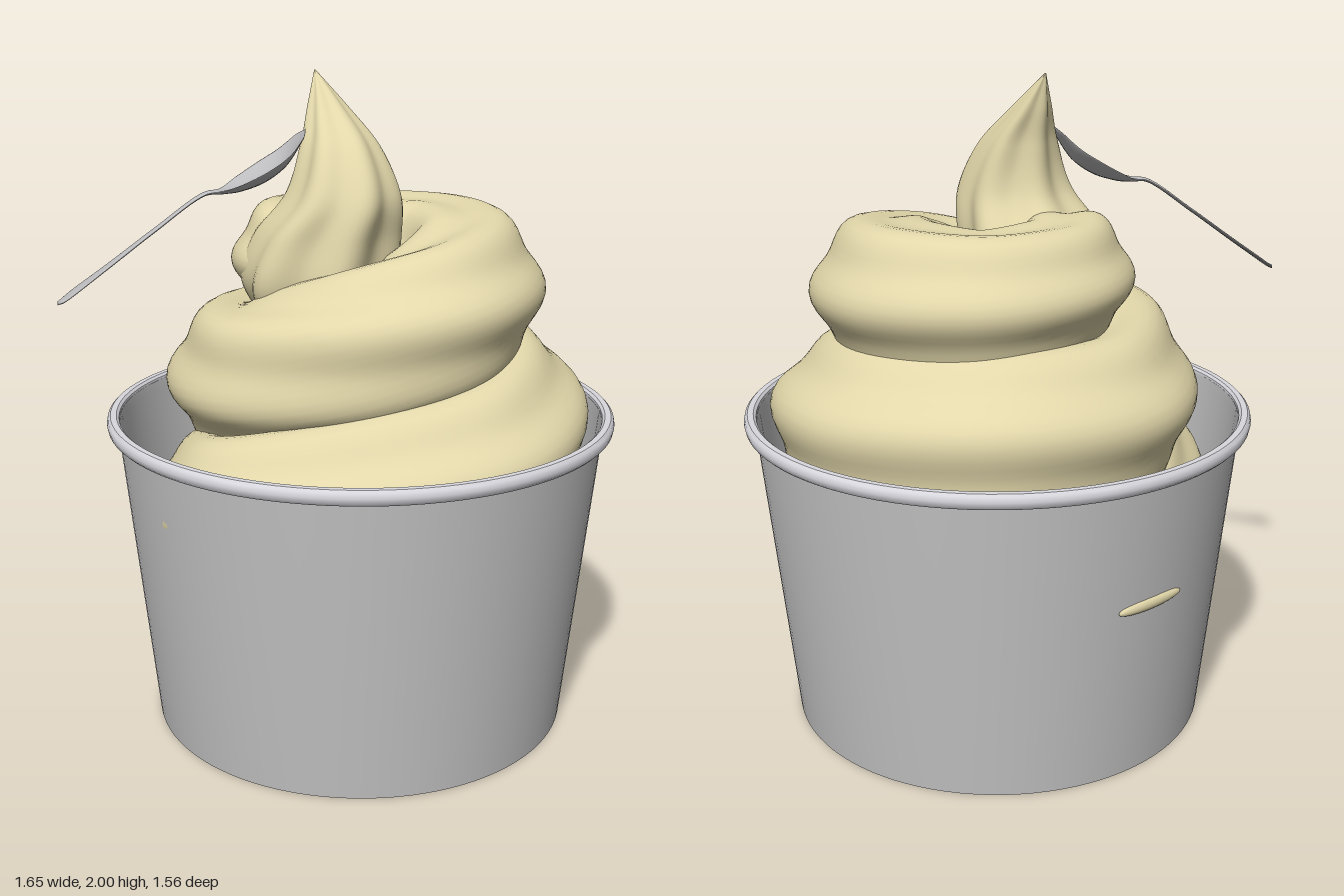
import * as THREE from 'three';
import { toCreasedNormals } from 'three/addons/utils/BufferGeometryUtils.js';

const V = (x, y, z) => new THREE.Vector3(x, y, z);

const material = (name, color) => {
  const m = new THREE.MeshStandardMaterial({ color, side: THREE.DoubleSide });
  m.name = name;
  return m;
};

// Skin a list of closed rings (arrays of Vector3) into a smooth surface
function loft(rings) {
  const n = rings[0].length;
  const pos = rings.flat().flatMap((p) => [p.x, p.y, p.z]);
  const idx = [];
  for (let i = 0; i < rings.length - 1; i++) {
    for (let j = 0; j < n; j++) {
      const a = i * n + j, b = i * n + ((j + 1) % n);
      idx.push(a, b, a + n, b, b + n, a + n);
    }
  }
  const g = new THREE.BufferGeometry();
  g.setAttribute('position', new THREE.Float32BufferAttribute(pos, 3));
  g.setIndex(idx);
  g.computeVertexNormals();
  return g;
}

// Smooth sampling of rows [x, y, z, a, b]; a and b are extra values such as radii
function sampler(rows) {
  const path = new THREE.CatmullRomCurve3(rows.map((r) => V(r[0], r[1], r[2])));
  const extra = new THREE.CatmullRomCurve3(
    rows.map((r) => V(r[3], r[4] || 0, 0)), false, 'catmullrom', 0.5);
  return (t) => ({ p: path.getPoint(t), tan: path.getTangent(t), e: extra.getPoint(t) });
}

const ring = (n, fn) => Array.from({ length: n }, (_, j) => fn((j / n) * Math.PI * 2));
const rows = (n, fn) => Array.from({ length: n + 1 }, (_, i) => fn(i / n));

// Six-ridged outline of the piped cream
const star = (a, amp) => 1 - amp + amp * Math.cos(6 * a);

// Coiled rope, climbing anticlockwise seen from above; extra values are radius and ridge angle
function coilGeometry() {
  const at = sampler([
    [0.26, 0.46, -0.28, 0.01, 10],
    [0.22, 0.47, -0.31, 0.2, 10],
    [0.02, 0.51, -0.4, 0.24, 10],
    [-0.26, 0.58, -0.3, 0.25, 0],
    [-0.37, 0.66, -0.02, 0.25, 5],
    [-0.31, 0.74, 0.33, 0.255, 15],
    [0.05, 0.83, 0.4, 0.26, 12],
    [0.37, 0.89, 0.28, 0.27, 12],
    [0.475, 0.95, 0.0, 0.275, 15],
    [0.35, 0.99, -0.32, 0.275, 18],
    [0.02, 1.02, -0.445, 0.27, 20],
    [-0.25, 1.04, -0.29, 0.265, 10],
    [-0.3, 1.08, 0.0, 0.26, 0],
    [-0.21, 1.13, 0.18, 0.25, -15],
    [0.03, 1.21, 0.255, 0.25, -30],
    [0.27, 1.3, 0.18, 0.245, -45],
    [0.365, 1.36, -0.04, 0.24, -58],
    [0.28, 1.38, -0.26, 0.235, -58],
    [0.06, 1.39, -0.35, 0.22, -55],
    [-0.14, 1.42, -0.24, 0.2, -60],
    [-0.16, 1.43, -0.06, 0.18, -60],
    [-0.08, 1.42, 0.02, 0.02, -60],
  ]);
  return loft(rows(320, (t) => {
    const { p, tan, e } = at(t);
    const n = V(0, 0, 0).crossVectors(tan, V(0, 1, 0)).normalize();
    const b = V(0, 0, 0).crossVectors(tan, n);
    return ring(60, (a) => {
      const r = Math.max(e.x, 0.005) * star(a + THREE.MathUtils.degToRad(e.y), 0.06);
      return p.clone().addScaledVector(n, r * Math.cos(a)).addScaledVector(b, r * Math.sin(a));
    });
  }));
}

// Pulled peak with twisting ridges
function peakGeometry() {
  const at = sampler([
    [-0.09, 1.24, 0.0, 0.17],
    [-0.09, 1.38, 0.0, 0.24],
    [-0.06, 1.52, 0.015, 0.225],
    [-0.01, 1.65, 0.045, 0.172],
    [-0.02, 1.79, 0.015, 0.118],
    [-0.06, 1.9, -0.045, 0.06],
    [-0.1, 2.0, -0.1, 0.002],
  ]);
  return loft(rows(60, (t) => {
    const { p, e } = at(t);
    const r = Math.max(e.x, 0.002);
    return ring(72, (a) => {
      const s = r * star(a - t * 0.6 + 0.3, 0.075);
      return V(p.x + s * Math.cos(a), p.y, p.z - s * Math.sin(a));
    });
  }));
}

// Spoon from bowl tip to handle end; extra values are half width and bowl depth
function spoonGeometry() {
  const z = (x) => 0.035 + (-0.12 - x) * 0.325;
  const at = sampler([
    [-0.12, 1.835, 0.004, 0],
    [-0.135, 1.82, 0.05, 0.01],
    [-0.18, 1.775, 0.085, 0.035],
    [-0.24, 1.735, 0.097, 0.04],
    [-0.31, 1.695, 0.075, 0.025],
    [-0.36, 1.67, 0.033, 0.006],
    [-0.41, 1.66, 0.017, 0],
    [-0.55, 1.562, 0.02, 0],
    [-0.68, 1.465, 0.028, 0],
    [-0.78, 1.392, 0.039, 0],
    [-0.81, 1.37, 0.03, 0],
    [-0.825, 1.362, 0.004, 0],
  ].map(([x, y, w, d]) => [x, y, z(x), w, d]));
  return loft(rows(90, (t) => {
    const { p, e } = at(t);
    const w = Math.max(e.x, 0.003);
    return ring(28, (a) => {
      const c = Math.cos(a), across = w * c;
      return V(p.x + across * 0.3, p.y + 0.006 * Math.sin(a) - e.y * (1 - c * c), p.z + across * 0.95);
    });
  }));
}

// Turned shape with sharp edges kept
function turned(profile) {
  const points = profile.map(([x, y]) => new THREE.Vector2(x, y));
  return toCreasedNormals(new THREE.LatheGeometry(points, 96), 0.6);
}

export function createModel() {
  const cream = material('cream', 0xe2d7aa);
  const paper = material('paper', 0xc4c4c4);
  const rimWhite = material('rim', 0xd8d8de);
  const steel = material('steel', 0xbcbcbe);

  const model = new THREE.Group();
  model.name = 'iceCreamCup';
  const add = (name, geometry, mat, parent = model) => {
    const mesh = new THREE.Mesh(geometry, mat);
    mesh.name = name;
    parent.add(mesh);
    return mesh;
  };

  // Thin-walled paper cup with a recessed base, and its rolled rim
  const cup = new THREE.Group();
  cup.name = 'cup';
  cup.position.x = 0.042;
  model.add(cup);
  add('cupWall', turned([
    [0, 0.03], [0.635, 0.03], [0.635, 0], [0.652, 0], [0.748, 0.95], [0.75, 0.975],
    [0.742, 0.975], [0.738, 0.95], [0.643, 0.05], [0, 0.05],
  ]), paper, cup);
  add('cupRim', turned([
    [0.748, 0.944], [0.77, 0.944], [0.778, 0.952], [0.781, 0.967], [0.778, 0.981], [0.77, 0.989],
    [0.752, 0.989], [0.744, 0.982], [0.741, 0.967], [0.743, 0.95], [0.748, 0.944],
  ]), rimWhite, cup);

  // Cream showing through the back of the cup
  const angle = THREE.MathUtils.degToRad(220);
  const smear = add('creamSmear', new THREE.SphereGeometry(1, 24, 12), cream, cup);
  smear.scale.set(0.12, 0.02, 0.016);
  smear.position.set(Math.sin(angle) * 0.704, 0.57, Math.cos(angle) * 0.704);
  smear.rotation.set(0, angle, 0.03);

  // Swirl
  add('creamCoil', coilGeometry(), cream);
  add('creamPeak', peakGeometry(), cream);

  // Spoon
  add('spoon', spoonGeometry(), steel);
  return model;
}
